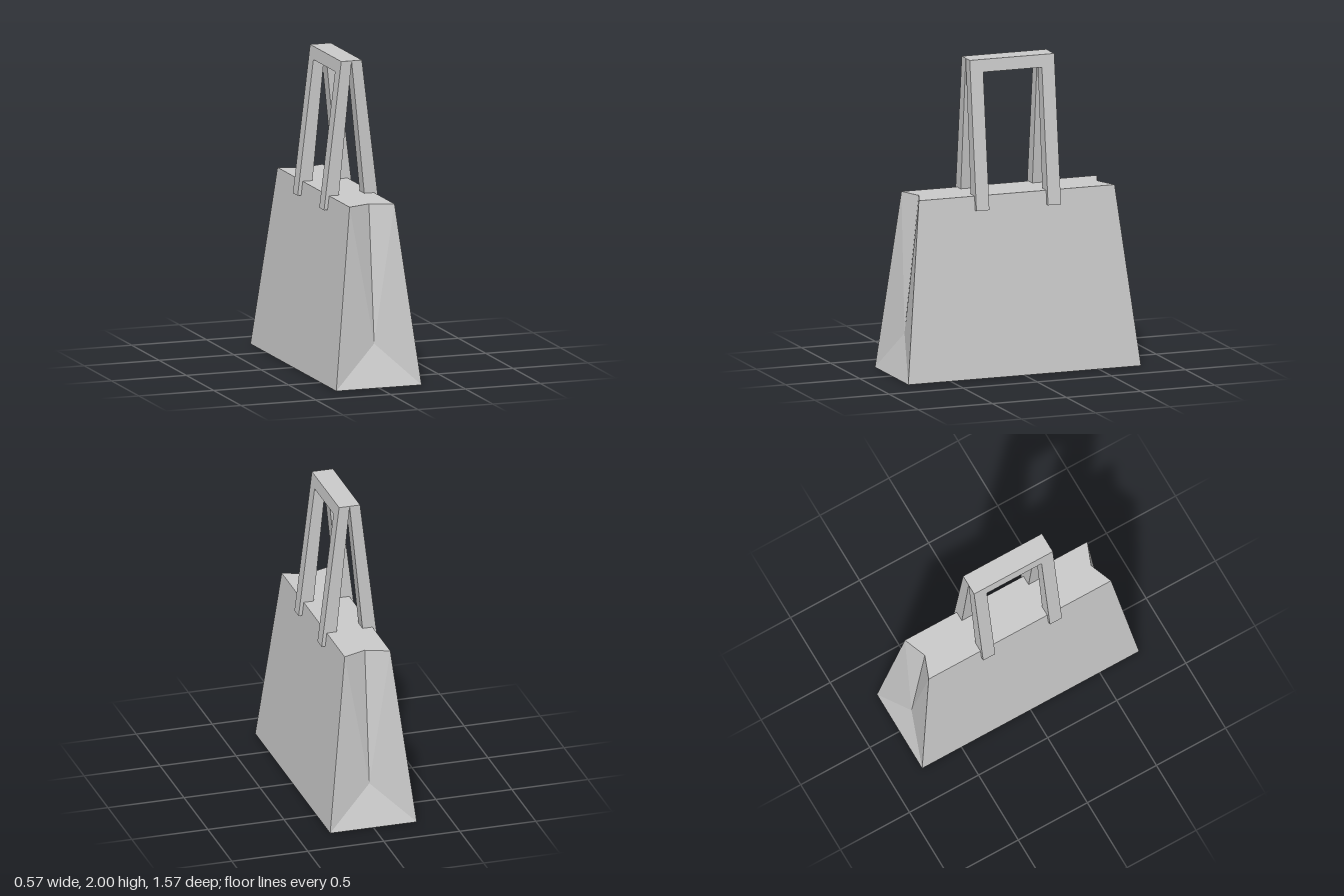
import * as THREE from 'three';

const material = new THREE.MeshStandardMaterial({ color: 0xcccccc, flatShading: true });

// Tapered bag with folded-in ends; half is listed, the other half is a half turn of it
function bagBody() {
  const corner = (sx, sz) => [sx * 0.285, 0, sz * 0.785];
  const rim = (sx, sz) => [sx * 0.15, 1.145, sz * 0.66];
  const rimFold = sz => [0, 1.145, sz * 0.602];
  const apex = [0, 0.268, 0.698];
  const half = [
    // end gusset: lower triangle, then left and right folds
    corner(-1, 1), corner(1, 1), apex,
    corner(1, 1), rim(1, 1), apex,
    rim(1, 1), rimFold(1), apex,
    corner(-1, 1), apex, rim(-1, 1),
    rim(-1, 1), apex, rimFold(1),
    // broad side panel
    corner(1, 1), corner(1, -1), rim(1, -1),
    corner(1, 1), rim(1, -1), rim(1, 1),
    // half of the top
    rim(1, 1), rim(1, -1), rimFold(-1),
    rim(1, 1), rimFold(-1), rimFold(1),
    // half of the base
    corner(1, 1), corner(-1, 1), corner(-1, -1),
  ];
  const points = [1, -1].flatMap(s => half.flatMap(([x, y, z]) => [s * x, y, s * z]));
  const geo = new THREE.BufferGeometry();
  geo.setAttribute('position', new THREE.Float32BufferAttribute(points, 3));
  geo.computeVertexNormals();
  return geo;
}

// U-shaped strap that leans outward towards its lower ends
function strap(side) {
  const top = 2, bottom = 1.055, outer = 0.285, inner = 0.198;
  const shape = new THREE.Shape([
    [-outer, bottom], [-inner, bottom], [-inner, 1.92], [inner, 1.92],
    [inner, bottom], [outer, bottom], [outer, top], [-outer, top],
  ].map(([u, v]) => new THREE.Vector2(u, v)));
  const geo = new THREE.ExtrudeGeometry(shape, { depth: 1, bevelEnabled: false });
  geo.rotateY(Math.PI / 2);
  const pos = geo.attributes.position;
  for (let i = 0; i < pos.count; i++) {
    const k = (top - pos.getY(i)) / (top - bottom);
    const near = 0.094 * k;
    const far = 0.069 + 0.115 * k;
    const t = pos.getX(i);
    pos.setX(i, side > 0 ? near + t * (far - near) : -far + t * (far - near));
  }
  geo.computeVertexNormals();
  return geo;
}

export function createModel() {
  const model = new THREE.Group();
  model.name = 'handbag';
  const add = (name, geo) => {
    const mesh = new THREE.Mesh(geo, material);
    mesh.name = name;
    model.add(mesh);
  };
  add('bagBody', bagBody());
  add('leftHandle', strap(1));
  add('rightHandle', strap(-1));
  return model;
}
